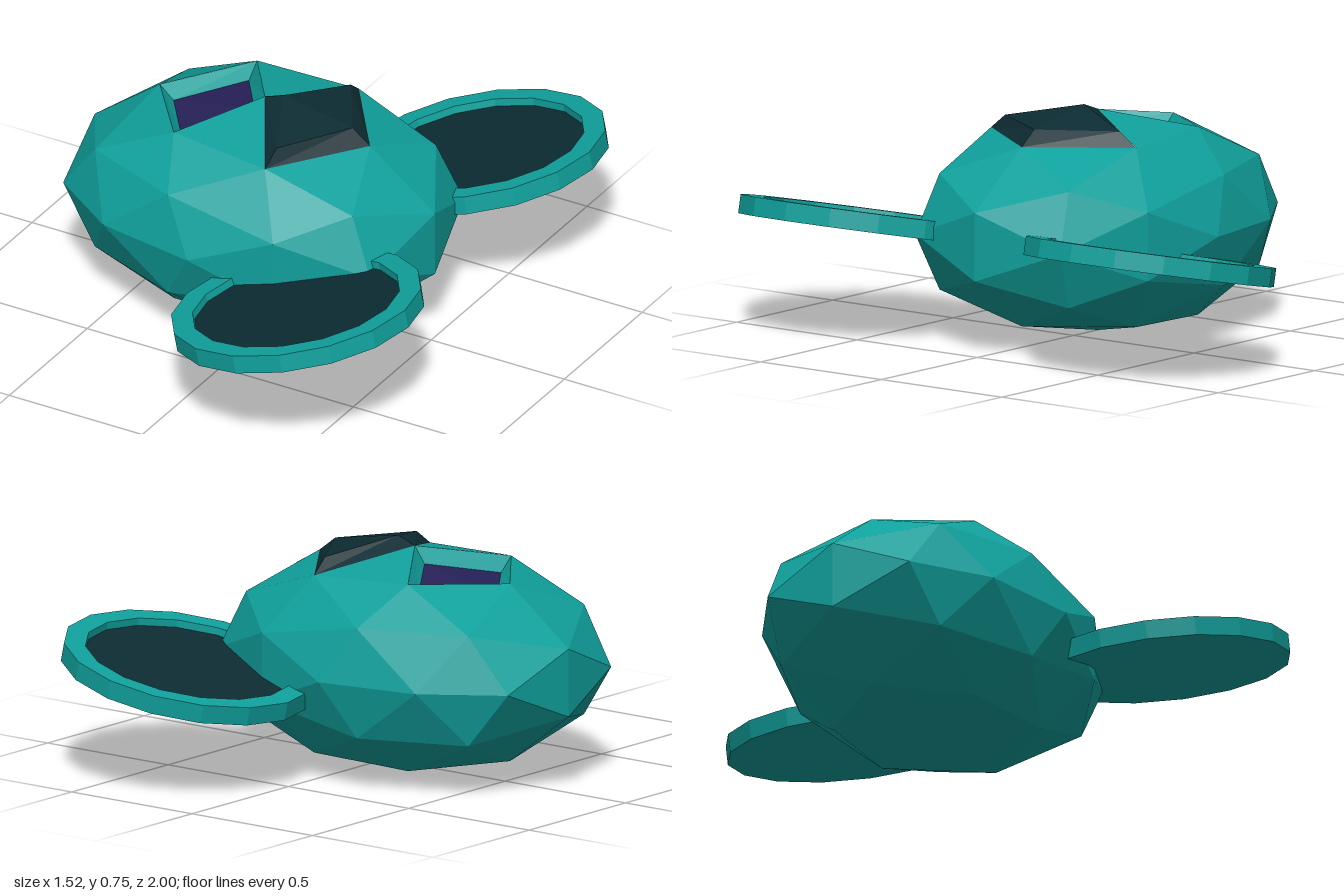
import * as THREE from 'three';

const mat = (name, color) => {
  const m = new THREE.MeshStandardMaterial({ color });
  m.name = name;
  return m;
};

// Flat-shaded geometry from a list of triangles (each three Vector3)
function facets(tris) {
  const g = new THREE.BufferGeometry().setFromPoints(tris.flat());
  g.computeVertexNormals();
  return g;
}

export function createModel() {
  const teal = mat('teal shell', 0x10a09c);
  const dark = mat('dark glass', 0x0d2c33);
  const purple = mat('purple panel', 0x272158);
  const group = new THREE.Group();
  const V = (x, y, z) => new THREE.Vector3(x, y, z);
  const add = (name, geometry, material, parent = group) => {
    const mesh = new THREE.Mesh(geometry, material);
    mesh.name = name;
    parent.add(mesh);
    return mesh;
  };

  // Body: faceted ball with poles on z, one half stretched and mirrored
  const ball = new THREE.IcosahedronGeometry(1, 1);
  ball.rotateX(Math.atan2(0.5257, 0.8507));
  ball.rotateZ(-Math.PI / 2);
  const p = ball.attributes.position;
  const place = (v) => V(v.x * 0.672 - 0.125, 0.365 + v.y * 0.365,
    v.z > 0.02 ? 0.08 + 0.42 * v.z : 0);
  const flip = (v) => V(v.x, v.y, -v.z);
  const body = [];
  for (let i = 0; i < p.count; i += 3) {
    const t = [0, 1, 2].map((k) => V(0, 0, 0).fromBufferAttribute(p, i + k));
    const c = V(0, 0, 0).add(t[0]).add(t[1]).add(t[2]).divideScalar(3);
    if (c.z < 0) continue;
    // leave the two diamond openings on top
    const angle = THREE.MathUtils.radToDeg(Math.atan2(c.y, c.x));
    if (c.z < 0.2 && (Math.abs(angle - 108) < 4 || Math.abs(angle - 72) < 4)) continue;
    const [a, b, d] = t.map(place);
    body.push([a, b, d], [flip(a), flip(d), flip(b)]);
  }
  add('body', facets(body), teal);

  // Diamonds: corners run rear, near side, front, far side
  const diamond = (x0, y0, x1, y1, z1, x2, y2) =>
    [V(x0, y0, 0), V(x1, y1, z1), V(x2, y2, 0), V(x1, y1, -z1)];
  const walls = (o, n) => o.flatMap((a, i) => {
    const j = (i + 1) % 4;
    return [[a, o[j], n[j]], [a, n[j], n[i]]];
  });
  const cap = (n) => [[n[0], n[1], n[2]], [n[0], n[2], n[3]]];
  const sideCap = (n) => [[n[0], n[1], n[2]], [n[2], n[3], n[0]]];

  // Sunken purple panel
  const hatchRim = diamond(-0.52, 0.66, -0.311, 0.675, 0.268, -0.125, 0.73);
  const hatchFloor = diamond(-0.468, 0.615, -0.311, 0.628, 0.215, -0.165, 0.675);
  add('hatchWalls', facets(walls(hatchRim, hatchFloor)), teal);
  add('hatchPanel', facets(cap(hatchFloor)), purple);

  // Raised dark canopy
  const canopyBase = diamond(-0.125, 0.73, 0.052, 0.66, 0.301, 0.27, 0.66);
  const canopyTop = diamond(-0.055, 0.755, 0.058, 0.709, 0.238, 0.205, 0.709);
  add('canopy', facets([...walls(canopyBase, canopyTop), ...sideCap(canopyTop)]), dark);

  // Tilted side discs with a raised rim around a dark floor
  const profile = [[0, -0.031], [0.408, -0.031], [0.408, 0.031], [0.338, 0.031], [0.336, 0.006]];
  const rim = new THREE.LatheGeometry(profile.map(([r, y]) => new THREE.Vector2(r, y)), 16)
    .scale(1.025, 1, 1).toNonIndexed();
  rim.computeVertexNormals();
  const floor = new THREE.CircleGeometry(0.337, 16).rotateX(-Math.PI / 2)
    .scale(1.025, 1, 1).translate(0, 0.006, 0);
  for (const [name, side] of [['frontDisc', 1], ['backDisc', -1]]) {
    const disc = new THREE.Group();
    disc.name = name;
    add('discRim', rim, teal, disc);
    add('discFloor', floor, dark, disc);
    disc.position.set(0.345, 0.363, side * 0.592);
    disc.rotation.z = 0.21;
    group.add(disc);
  }
  return group;
}
